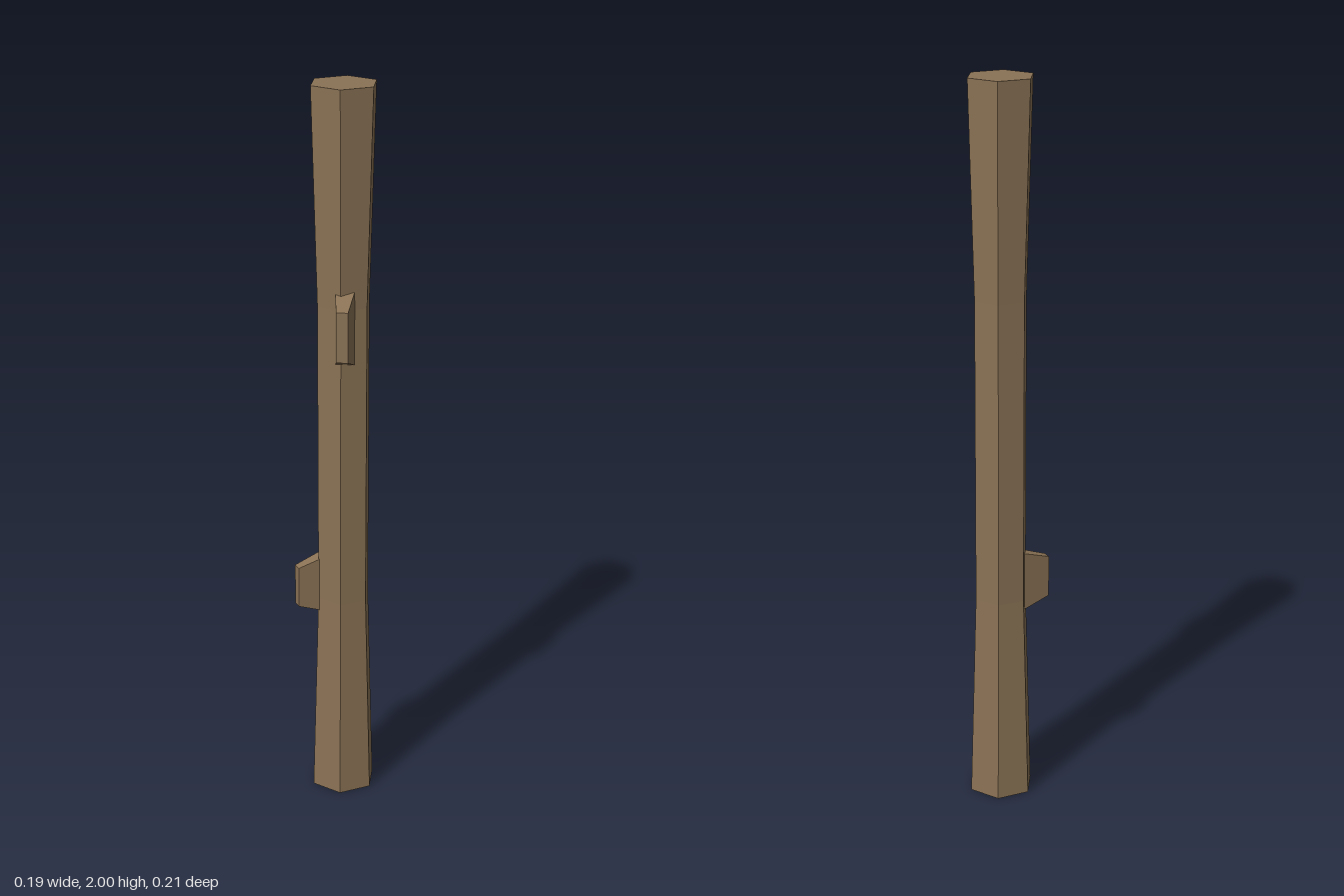
import * as THREE from 'three';

const bark = new THREE.MeshStandardMaterial({ color: 0x8b7355, flatShading: true });
bark.name = 'bark';

// Block tapering along +z from a base to a smaller tip; each end is given as
// { z, left, right, bottom, top }.
function taperedBlock(base, tip) {
  const geo = new THREE.BoxGeometry(1, 1, 1);
  const pos = geo.attributes.position;
  for (let i = 0; i < pos.count; i++) {
    const end = pos.getZ(i) > 0 ? tip : base;
    pos.setXYZ(i,
      pos.getX(i) > 0 ? end.right : end.left,
      pos.getY(i) > 0 ? end.top : end.bottom,
      end.z);
  }
  geo.computeVertexNormals();
  return geo;
}

// Cut branch stub pointing outward at the given angle from the front
function stub(name, angle, base, tip) {
  const mesh = new THREE.Mesh(taperedBlock(base, tip), bark);
  mesh.name = name;
  mesh.rotation.y = angle;
  return mesh;
}

export function createModel() {
  const group = new THREE.Group();
  group.name = 'woodenPost';

  // Six-sided trunk, narrower through the middle, closed at both ends
  const profile = [[0, 0], [0.092, 0], [0.075, 0.58], [0.075, 1.42], [0.092, 2], [0, 2]]
    .map(([r, y]) => new THREE.Vector2(r, y));
  const trunk = new THREE.Mesh(new THREE.LatheGeometry(profile, 6, Math.PI / 2), bark);
  trunk.name = 'trunk';
  trunk.position.set(-0.003, 0, -0.026);
  group.add(trunk);

  // Larger stub high on the left, smaller one low on the right
  group.add(stub('upperBranchStub', Math.PI / 6,
    { z: 0.02, left: -0.007, right: 0.046, bottom: 1.264, top: 1.472 },
    { z: 0.121, left: 0.005, right: 0.036, bottom: 1.304, top: 1.439 }));
  group.add(stub('lowerBranchStub', -Math.PI / 6,
    { z: 0.02, left: -0.052, right: -0.009, bottom: 0.535, top: 0.709 },
    { z: 0.111, left: -0.044, right: -0.018, bottom: 0.565, top: 0.68 }));

  return group;
}
